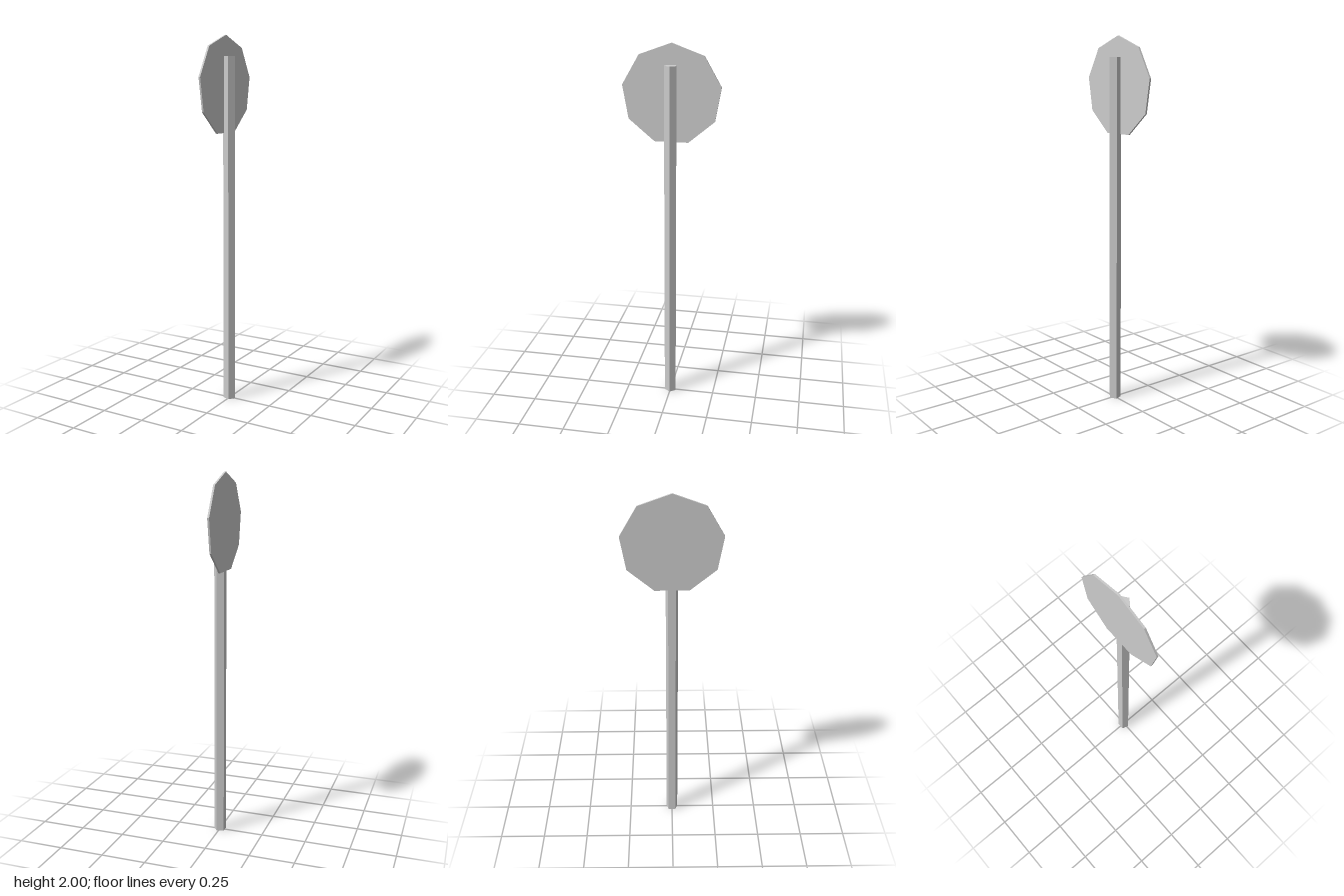
import * as THREE from 'three';

// Faceted prism with one corner pointing along +x, axis along y
function prism(name, radius, height, sides) {
  const geometry = new THREE.CylinderGeometry(radius, radius, height, sides, 1, false, Math.PI / 2);
  const material = new THREE.MeshStandardMaterial({ color: 0xcccccc, flatShading: true });
  const mesh = new THREE.Mesh(geometry, material);
  mesh.name = name;
  return mesh;
}

export function createModel() {
  const group = new THREE.Group();
  group.name = 'signPost';

  // Five-sided post standing on the ground
  const postHeight = 1.89;
  const post = prism('post', 0.034, postHeight, 5);
  post.position.set(-0.002, postHeight / 2, 0);
  group.add(post);

  // Thin nine-sided plate on the post's right side, one corner pointing up
  const plateRadius = 0.263;
  const plate = prism('signPlate', plateRadius, 0.01, 9);
  plate.rotation.z = Math.PI / 2;
  plate.position.set(-0.0275, 2 - plateRadius, 0);
  group.add(plate);

  return group;
}
